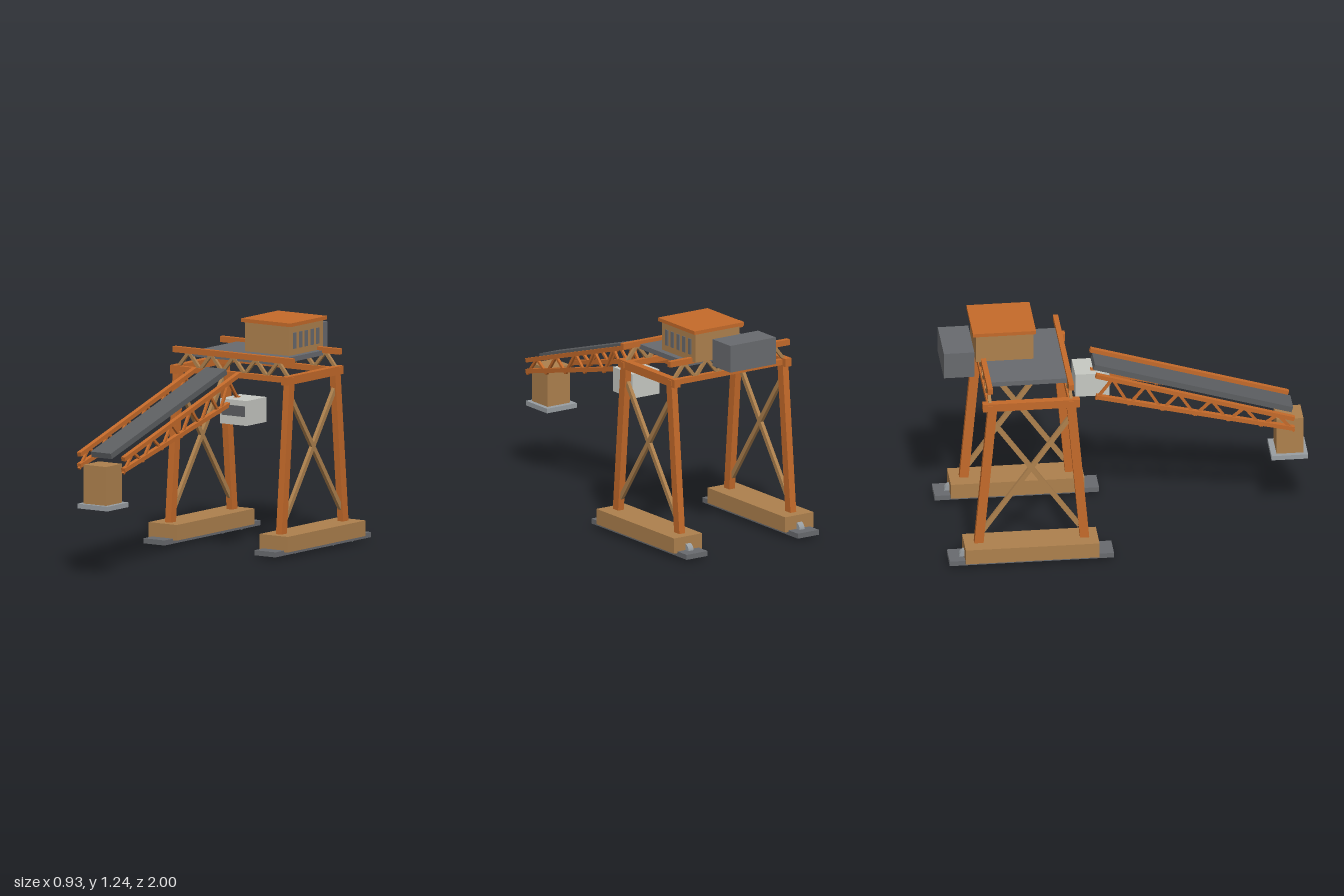
import * as THREE from 'three';

const mat = (name, color) => {
  const m = new THREE.MeshStandardMaterial({ color });
  m.name = name;
  return m;
};

export function createModel() {
  const orange = mat('orange steel', 0xc46a2a);
  const tan = mat('tan steel', 0xad804d);
  const dark = mat('dark grey', 0x686a6e);
  const belt = mat('belt grey', 0x5c5e61);
  const steel = mat('light steel', 0x989ea2);
  const pale = mat('pale cab', 0xc6c8c2);

  const root = new THREE.Group();
  root.name = 'gantryCrane';
  const group = (name) => {
    const g = new THREE.Group();
    g.name = name;
    root.add(g);
    return g;
  };

  // Axis-aligned box given by its extents
  const box = (parent, name, m, [x0, x1], [y0, y1], [z0, z1]) => {
    const mesh = new THREE.Mesh(new THREE.BoxGeometry(x1 - x0, y1 - y0, z1 - z0), m);
    mesh.position.set((x0 + x1) / 2, (y0 + y1) / 2, (z0 + z1) / 2);
    mesh.name = name;
    parent.add(mesh);
  };

  // Beam from a to b: w is its width along the side axis, t its thickness
  const X = new THREE.Vector3(1, 0, 0), Z = new THREE.Vector3(0, 0, 1);
  const beam = (parent, name, m, a, b, w, t, side = X) => {
    const p = new THREE.Vector3(...a), q = new THREE.Vector3(...b);
    const dir = q.clone().sub(p);
    const mesh = new THREE.Mesh(new THREE.BoxGeometry(w, dir.length(), t), m);
    dir.normalize();
    const third = new THREE.Vector3().crossVectors(side, dir);
    mesh.quaternion.setFromRotationMatrix(new THREE.Matrix4().makeBasis(side, dir, third));
    mesh.position.copy(p).add(q).multiplyScalar(0.5);
    mesh.name = name;
    parent.add(mesh);
  };

  // Two side frames: rail, wheels, bogie, legs, cross braces, head beam
  for (const s of [-1, 1]) {
    const g = group(s > 0 ? 'leftFrame' : 'rightFrame');
    const x = s * 0.37;
    box(g, 'rail', dark, [x - 0.07, x + 0.07], [0.018, 0.046], [-1, -0.1]);
    box(g, 'bogie', tan, [x - 0.094, x + 0.094], [0.037, 0.123], [-0.914, -0.182]);
    for (const z of [-0.36, -0.725, -0.902]) {
      const wheel = new THREE.Mesh(new THREE.CylinderGeometry(0.041, 0.041, 0.034, 16), steel);
      wheel.rotation.z = Math.PI / 2;
      wheel.position.set(x, 0.043, z);
      wheel.name = 'wheel';
      g.add(wheel);
    }
    beam(g, 'frontLeg', orange, [x, 0.11, -0.254], [x, 0.96, -0.329], 0.038, 0.05);
    beam(g, 'backLeg', orange, [x, 0.11, -0.835], [x, 0.96, -0.758], 0.038, 0.05);
    beam(g, 'brace', tan, [x, 0.195, -0.283], [x, 0.86, -0.753], 0.02, 0.026);
    beam(g, 'brace', tan, [x, 0.195, -0.81], [x, 0.86, -0.34], 0.02, 0.026);
    box(g, 'headBeam', orange, [x - 0.02, x + 0.02], [0.936, 0.982], [-0.812, -0.28]);
  }

  // Front and back cross trusses
  for (const z of [-0.328, -0.772]) {
    const g = group(z > -0.5 ? 'frontTruss' : 'backTruss');
    box(g, 'topChord', orange, [-0.398, 0.398], [1.048, 1.08], [z - 0.014, z + 0.014]);
    box(g, 'bottomChord', orange, [-0.395, 0.395], [0.943, 0.974], [z - 0.014, z + 0.014]);
    for (let i = 0; i < 10; i++) {
      const x = -0.372 + i * 0.0744, up = i % 2;
      beam(g, 'lattice', tan, [x, up ? 1.055 : 0.965, z], [x + 0.0744, up ? 0.965 : 1.055, z],
        0.017, 0.018, Z);
    }
  }

  // Deck, control house and machinery box
  const top = group('upperDeck');
  box(top, 'deck', dark, [-0.285, 0.285], [1.034, 1.061], [-0.775, -0.325]);
  box(top, 'house', tan, [-0.045, 0.25], [1.058, 1.225], [-0.813, -0.497]);
  box(top, 'houseRoof', orange, [-0.062, 0.267], [1.222, 1.242], [-0.83, -0.485]);
  for (let i = 0; i < 5; i++) {
    const z = -0.546 - i * 0.054;
    box(top, 'houseWindow', dark, [0.249, 0.256], [1.096, 1.184], [z - 0.013, z + 0.013]);
  }
  box(top, 'machineryBox', dark, [-0.153, 0.15], [1.029, 1.18], [-1, -0.833]);

  // Sloping boom: two side trusses and the conveyor between them
  const boom = group('boom');
  const zAt = (t) => 0.918 - 1.085 * t;
  const upper = (t) => 0.66 + 0.332 * t;
  const lower = (t) => 0.599 + 0.264 * t;
  for (const x of [-0.147, 0.147]) {
    beam(boom, 'boomTopChord', orange, [x, upper(0), zAt(0)], [x, upper(1), zAt(1)], 0.026, 0.024);
    beam(boom, 'boomBottomChord', orange, [x, lower(0), zAt(0)], [x, lower(1), zAt(1)], 0.026, 0.024);
    for (let i = 0; i < 12; i++) {
      const end = (k) => [x, k % 2 ? upper(k / 12) : lower(k / 12) - 0.018, zAt(k / 12)];
      beam(boom, 'boomLattice', orange, end(i), end(i + 1), 0.014, 0.014);
    }
  }
  beam(boom, 'conveyor', belt, [0, 0.668, 0.917], [0, 0.999, -0.168], 0.134, 0.032);

  // Operator cab hung from the boom
  const cab = group('operatorCab');
  box(cab, 'cabBody', pale, [0.095, 0.273], [0.731, 0.868], [-0.253, -0.066]);
  box(cab, 'cabWindow', belt, [0.108, 0.262], [0.78, 0.838], [-0.067, -0.06]);

  // Discharge chute under the boom tip
  const chute = group('chute');
  box(chute, 'chuteBody', tan, [-0.075, 0.075], [0.4, 0.618], [0.83, 0.977]);
  box(chute, 'chutePlate', steel, [-0.1, 0.1], [0.378, 0.404], [0.8, 1]);

  return root;
}
